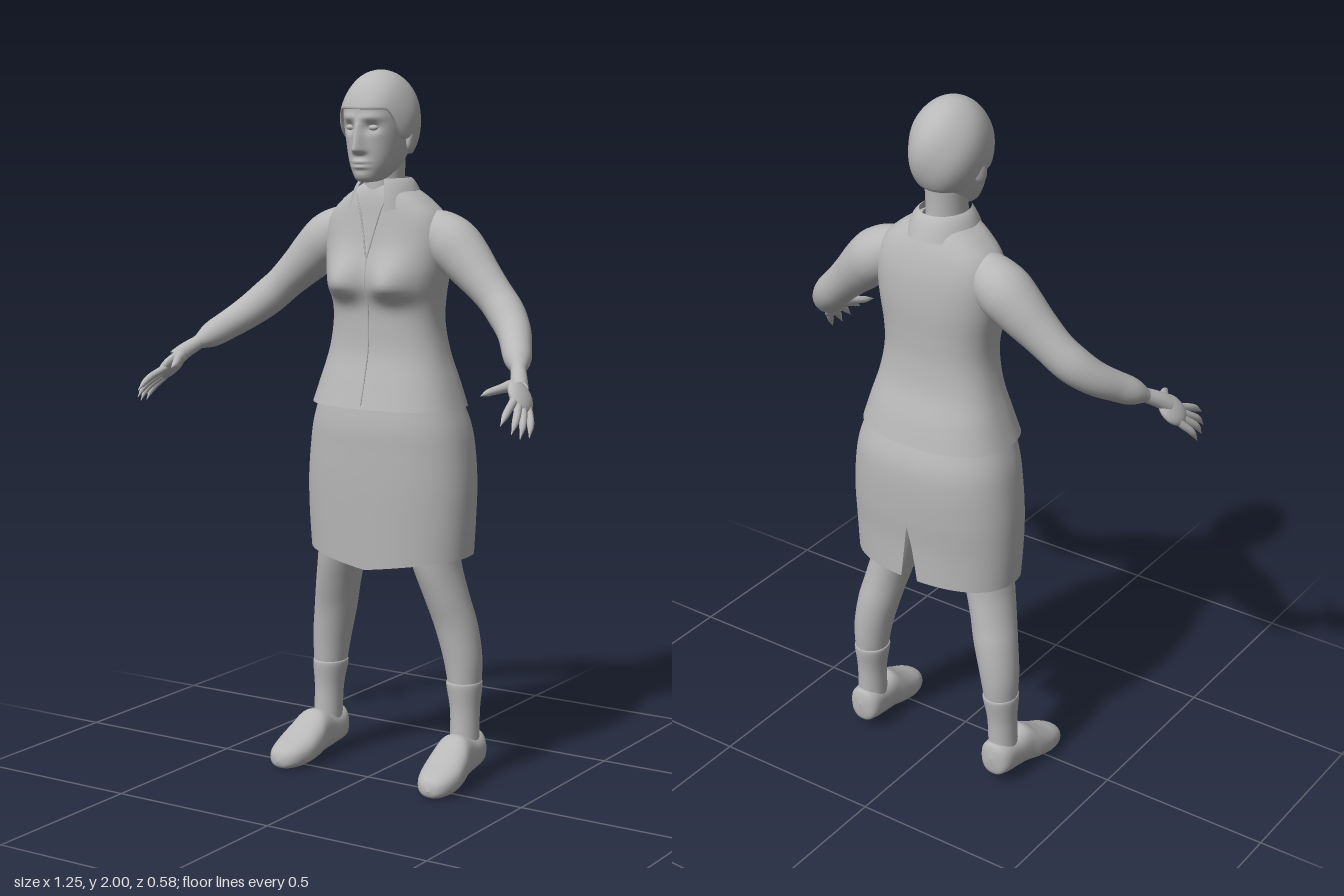
import * as THREE from 'three';
import { mergeVertices } from 'three/addons/utils/BufferGeometryUtils.js';

const V = (x, y, z) => new THREE.Vector3(x, y, z);
const gauss = (d, w) => Math.exp(-(d * d) / (w * w));

// Catmull-Rom through rows of numbers
function rowAt(rows, t) {
  const f = Math.min(Math.max(t, 0), 1) * (rows.length - 1);
  const i = Math.min(Math.floor(f), rows.length - 2), k = f - i;
  const r = (j) => rows[Math.min(Math.max(j, 0), rows.length - 1)];
  return rows[0].map((_, c) => {
    const a = r(i - 1)[c], b = r(i)[c], d = r(i + 1)[c], e = r(i + 2)[c];
    return b + 0.5 * k * (d - a + k * (2 * a - 5 * b + 4 * d - e + k * (3 * (b - d) + e - a)));
  });
}

// Skin over rings of points; point(t, u) with u running around
function skin(point, rings, sides, closed = true) {
  const pos = [], idx = [], cols = closed ? sides : sides + 1;
  for (let i = 0; i <= rings; i++)
    for (let j = 0; j < cols; j++) pos.push(...point(i / rings, j / sides).toArray());
  for (let i = 0; i < rings; i++)
    for (let j = 0; j < sides; j++) {
      const n = (j + 1) % cols, a = i * cols + j, b = i * cols + n;
      idx.push(a, b, b + cols, a, b + cols, a + cols);
    }
  const g = new THREE.BufferGeometry();
  g.setAttribute('position', new THREE.Float32BufferAttribute(pos, 3));
  g.setIndex(idx);
  g.computeVertexNormals();
  return g;
}

// Point on a section [y, centreX, halfX, zFront, zBack]; angle 0 is the front
function onSection([y, cx, hx, zf, zb], a, p = 2) {
  const s = Math.sin(a), c = Math.cos(a);
  const x = Math.sign(s) * Math.abs(s) ** (2 / p), z = Math.sign(c) * Math.abs(c) ** (2 / p);
  return V(cx + hx * x, y, (zf + zb) / 2 + (zf - zb) / 2 * z);
}
const loft = (rows, rings, sides, p, rule = (v) => v) =>
  skin((t, u) => rule(onSection(rowAt(rows, t), u * 2 * Math.PI, p), u * 2 * Math.PI), rings, sides);

// Tube with a changing radius along a smooth path
function limb(points, radii, seg = 24, sides = 16) {
  const curve = new THREE.CatmullRomCurve3(points.map((q) => V(...q)));
  const g = new THREE.TubeGeometry(curve, seg, 1, sides);
  const pos = g.attributes.position, rows = radii.map((r) => [r]);
  for (let i = 0; i < pos.count; i++) {
    const t = Math.floor(i / (sides + 1)) / seg, c = curve.getPointAt(t);
    const v = V().fromBufferAttribute(pos, i).sub(c).multiplyScalar(Math.max(rowAt(rows, t)[0], 0.0005)).add(c);
    pos.setXYZ(i, v.x, v.y, v.z);
  }
  g.deleteAttribute('uv');
  g.deleteAttribute('normal');
  const m = mergeVertices(g, 1e-5);
  m.computeVertexNormals();
  return m;
}

const TORSO = [
  [1.07, 0, 0.227, 0.045, -0.275], [1.14, 0, 0.205, 0.025, -0.257], [1.22, 0, 0.18, 0.004, -0.232],
  [1.3, 0, 0.165, 0.0, -0.222], [1.37, 0, 0.167, 0.002, -0.222], [1.46, 0, 0.182, 0.008, -0.225],
  [1.54, 0, 0.188, 0.0, -0.22], [1.6, 0, 0.172, -0.008, -0.207], [1.645, 0, 0.128, -0.014, -0.19],
  [1.675, 0, 0.082, -0.022, -0.172], [1.69, 0, 0.055, -0.03, -0.155]];
const SKIRT = [
  [0.65, 0, 0.25, 0.02, -0.275], [0.75, 0, 0.256, 0.025, -0.278], [0.85, 0, 0.257, 0.03, -0.286],
  [0.95, 0, 0.248, 0.032, -0.29], [1.02, 0, 0.235, 0.032, -0.284], [1.1, 0, 0.208, 0.022, -0.258]];
const HEAD = [
  [1.695, 0, 0.004, 0.012, 0.004], [1.7, 0, 0.03, 0.03, -0.04], [1.716, 0, 0.047, 0.038, -0.09],
  [1.75, 0, 0.066, 0.043, -0.13], [1.8, 0, 0.08, 0.046, -0.16], [1.86, 0, 0.089, 0.05, -0.175],
  [1.92, 0, 0.088, 0.045, -0.175], [1.97, 0, 0.05, -0.005, -0.13]];
const NECK = [
  [1.52, 0, 0.06, -0.02, -0.16], [1.62, 0, 0.06, -0.02, -0.155], [1.69, 0, 0.054, -0.022, -0.147], [1.78, 0, 0.056, -0.025, -0.15]];
const LEG = [
  [0.95, 0.11, 0.085, -0.02, -0.21], [0.75, 0.135, 0.078, -0.02, -0.2], [0.63, 0.157, 0.067, -0.03, -0.192],
  [0.53, 0.183, 0.063, -0.055, -0.198], [0.45, 0.203, 0.062, -0.078, -0.208], [0.36, 0.221, 0.056, -0.092, -0.21],
  [0.285, 0.228, 0.048, -0.1, -0.205], [0.2, 0.232, 0.039, -0.107, -0.192], [0.08, 0.234, 0.038, -0.105, -0.19]].reverse();
const SOCK = [
  [0.1, 0.234, 0.041, -0.1, -0.192], [0.2, 0.232, 0.042, -0.104, -0.195], [0.275, 0.228, 0.051, -0.097, -0.207], [0.285, 0.228, 0.046, -0.102, -0.202]];
// Shoe sections: [z, centreX, halfX, top, bottom], toe to heel
const SHOE = [
  [0.088, 0.252, 0.003, 0.03, 0.024], [0.08, 0.252, 0.03, 0.052, 0.006], [0.055, 0.25, 0.05, 0.068, 0.0], [0.01, 0.247, 0.062, 0.088, 0.0],
  [-0.04, 0.243, 0.061, 0.118, 0.006], [-0.08, 0.24, 0.054, 0.143, 0.014], [-0.13, 0.237, 0.05, 0.132, 0.022],
  [-0.18, 0.235, 0.049, 0.134, 0.03], [-0.202, 0.234, 0.034, 0.13, 0.036], [-0.21, 0.234, 0.003, 0.09, 0.08]];

// Bust fullness, firmer along its lower edge
function bust(v, a) {
  if (Math.cos(a) > 0) {
    const low = v.y < 1.41 ? 0.04 : 0.075;
    v.z += 0.052 * gauss(Math.abs(v.x) - 0.08, 0.068) * gauss(v.y - 1.41, low) * Math.min(1, Math.cos(a) * 2);
  }
  return v;
}
// Point on the jacket front at a given x and height
function jacketFront(x, y) {
  let lo = 0, hi = 1;
  for (let i = 0; i < 24; i++) { const m = (lo + hi) / 2; if (rowAt(TORSO, m)[0] < y) lo = m; else hi = m; }
  const row = rowAt(TORSO, lo), s = Math.min(Math.abs(x) / row[2], 1);
  return bust(onSection(row, Math.sign(x) * Math.asin(s ** 1.2), 2.4), Math.asin(s ** 1.2));
}
// Nose, brows, eye sockets, lips and chin
function face(v, a) {
  if (Math.cos(a) <= 0.2) return v;
  const x = Math.abs(v.x), y = v.y, slope = THREE.MathUtils.clamp((1.86 - y) / 0.075, 0, 1);
  if (y > 1.765) v.z += (0.008 + 0.024 * slope) * gauss(x, 0.011 + 0.006 * slope) * THREE.MathUtils.smoothstep(y, 1.768, 1.784) * (1 - THREE.MathUtils.smoothstep(y, 1.85, 1.88));
  v.z -= 0.013 * gauss(x - 0.036, 0.02) * gauss(y - 1.845, 0.014);
  v.z += 0.006 * gauss(x - 0.034, 0.032) * gauss(y - 1.872, 0.01);
  v.z += 0.008 * gauss(x, 0.024) * (gauss(y - 1.752, 0.006) + gauss(y - 1.738, 0.006));
  v.z += 0.004 * gauss(x, 0.025) * gauss(y - 1.715, 0.014);
  return v;
}

export function createModel() {
  const model = new THREE.Group();
  const grey = new THREE.MeshStandardMaterial({ color: 0xb8b8b8, side: THREE.DoubleSide });
  grey.name = 'plain grey';
  const add = (name, geometry, parent = model) => {
    const m = new THREE.Mesh(geometry, grey);
    m.name = name;
    parent.add(m);
    return m;
  };

  // Clothes
  add('jacket', loft(TORSO, 72, 80, 2.4, bust));
  add('skirt', skin((t, u) => {
    const row = rowAt(SKIRT, t), gap = Math.max(0, 0.82 - row[0]) * 0.45;
    const a = (u * 2 - 1) * (Math.PI - gap), v = onSection(row, a, 2.3);
    if (Math.cos(a) > 0) v.y -= 0.04 * (1 - Math.abs(v.x) / 0.26) * Math.max(0, 1 - t * 2.5);
    return v;
  }, 36, 80, false));
  const edge = (pts) => limb(pts.map(([x, y]) => jacketFront(x, y).toArray()), [0.0025, 0.0025], 32, 6);
  add('frontSeam', edge([[0.001, 1.49], [0.001, 1.42], [0.001, 1.36], [0.001, 1.25], [0.001, 1.15], [0.001, 1.08]]));

  // Collar folded around the neck, open at the front
  add('collar', skin((t, u) => {
    const a = (u * 2 - 1) * (Math.PI - 0.55) + Math.PI, f = Math.max(0, Math.cos(a));
    const r = 0.064 + 0.036 * t;
    return V(Math.sin(a) * r * 1.02, 1.705 - 0.048 * t * t - 0.014 * t - 0.03 * f * t, -0.092 + Math.cos(a) * (r + 0.012));
  }, 6, 48, false));

  // Head
  add('neck', loft(NECK, 12, 32, 2));
  add('head', loft(HEAD, 90, 120, 2.2, face));
  add('hair', skin((t, u) => {
    const a = u * 2 * Math.PI, c = Math.cos(a);
    const hem = c > 0 ? 1.815 + 0.08 * THREE.MathUtils.smoothstep(c, 0.25, 0.75) : 1.815 - 0.045 * THREE.MathUtils.smoothstep(-c, 0, 0.6);
    const end = Math.acos((hem - 1.86) / 0.14), k = Math.min((1 - t) / 0.94, 1);
    const ph = 0.005 + end * k, tuck = t < 0.06 ? 0.86 + t * 2.3 : 1;
    const w = tuck * (1 + 0.012 * Math.sin(a * 5 + ph * 4) * Math.sin(ph));
    return V(0.106 * Math.sin(ph) * Math.sin(a) * w, 1.86 + 0.14 * Math.cos(ph), -0.065 + 0.126 * Math.sin(ph) * c * w);
  }, 40, 64));

  // Parts that come in pairs, made on +x and mirrored
  for (const side of [1, -1]) {
    const half = new THREE.Group();
    half.name = side > 0 ? 'leftSide' : 'rightSide';
    model.add(half);
    const put = (name, g) => {
      if (side < 0) {
        g.scale(-1, 1, 1);
        const ix = g.index.array;
        for (let i = 0; i < ix.length; i += 3) [ix[i], ix[i + 1]] = [ix[i + 1], ix[i]];
        g.computeVertexNormals();
      }
      return add(name, g, half);
    };

    put('lapelEdge', edge([[0.002, 1.49], [0.018, 1.56], [0.034, 1.62], [0.05, 1.66]]));
    put('sleeve', limb([[0.08, 1.575, -0.11], [0.14, 1.563, -0.115], [0.2, 1.527, -0.118], [0.3, 1.437, -0.105], [0.38, 1.362, -0.085],
      [0.435, 1.31, -0.045], [0.485, 1.262, 0.025], [0.535, 1.218, 0.098], [0.538, 1.216, 0.101]],
      [0.03, 0.062, 0.076, 0.07, 0.06, 0.053, 0.052, 0.047, 0.042, 0.036, 0.012], 48, 24));

    // Hand
    put('wrist', limb([[0.52, 1.23, 0.08], [0.545, 1.205, 0.12], [0.56, 1.185, 0.145]], [0.02, 0.022, 0.024], 8));
    const palm = new THREE.SphereGeometry(1, 20, 14).scale(0.019, 0.042, 0.052);
    palm.applyMatrix4(new THREE.Matrix4().makeBasis(
      V(0.8, 0.6, 0).normalize(), V(0.33, -0.44, -0.83).normalize(), V(-0.5, 0.67, -0.55).normalize()));
    put('palm', palm.translate(0.568, 1.166, 0.154));
    const fingers = [
      ['indexFinger', [0.568, 1.16, 0.188], [0.58, 1.137, 0.245], [0.585, 1.108, 0.288]],
      ['middleFinger', [0.579, 1.149, 0.184], [0.6, 1.115, 0.235], [0.604, 1.084, 0.265]],
      ['ringFinger', [0.587, 1.139, 0.174], [0.61, 1.103, 0.215], [0.615, 1.07, 0.238]],
      ['littleFinger', [0.593, 1.133, 0.156], [0.615, 1.1, 0.183], [0.622, 1.068, 0.202]]];
    for (const [name, k, m, tip] of fingers)
      put(name, limb([[0.555, 1.19, 0.135], k, m, tip], [0.012, 0.0135, 0.0115, 0.0105, 0.009, 0.001], 18, 10));
    put('thumb', limb([[0.548, 1.195, 0.125], [0.53, 1.188, 0.172], [0.51, 1.18, 0.21], [0.5, 1.173, 0.243]],
      [0.015, 0.017, 0.0135, 0.0115, 0.009, 0.001], 18, 10));

    // Ear and eye
    const ear = new THREE.SphereGeometry(1, 16, 12).scale(0.011, 0.034, 0.02).rotateX(-0.2).rotateY(0.3);
    put('ear', ear.translate(0.093, 1.815, -0.068));
    put('eye', new THREE.SphereGeometry(0.0125, 14, 10).scale(1.2, 0.65, 0.8).translate(0.036, 1.845, 0.03));

    // Leg, sock and shoe
    put('leg', loft(LEG, 40, 28, 2));
    put('sock', loft(SOCK, 16, 28, 2));
    put('shoe', skin((t, u) => {
      const v = onSection(rowAt(SHOE, t), u * 2 * Math.PI, 2.4);
      return V(v.x, Math.max(v.z, 0), v.y);
    }, 44, 32));
  }
  return model;
}
